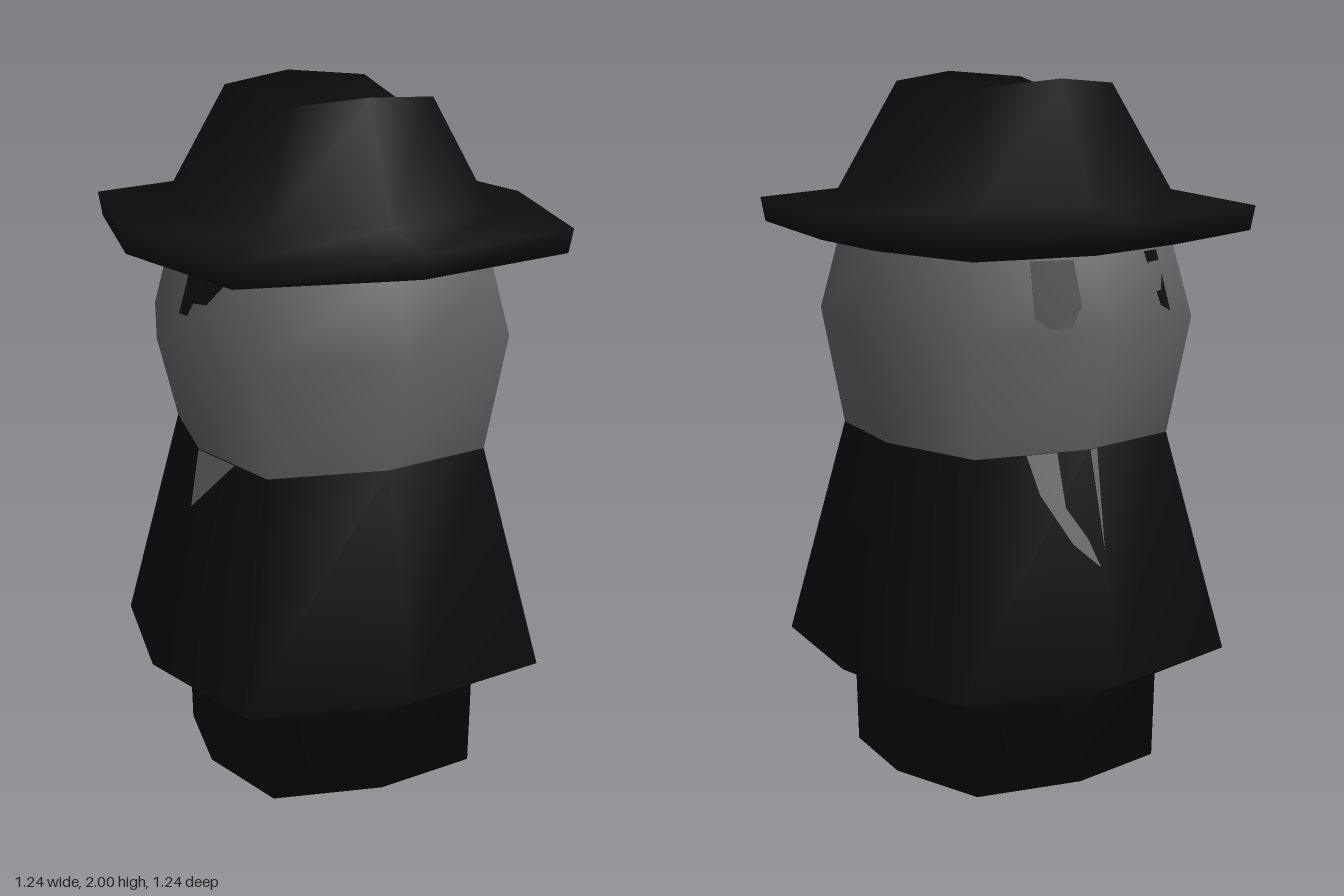
import * as THREE from 'three';

const black = new THREE.MeshStandardMaterial({ color: 0x0d0d0d, side: THREE.DoubleSide });
black.name = 'black cloth';
const grey = new THREE.MeshStandardMaterial({ color: 0x666666, side: THREE.DoubleSide });
grey.name = 'grey skin';

// Eight-sided rings, bottom to top: [y, reach along the axes, reach of the diagonal corners]
const coat = [[0, 0.38, 0.315], [0.25, 0.39, 0.32], [0.34, 0.56, 0.46], [0.98, 0.405, 0.337]];
const head = [[0.98, 0.405, 0.337], [1.32, 0.525, 0.385], [1.53, 0.435, 0.345]];
const hat = [[1.525, 0.43, 0.35], [1.57, 0.61, 0.5], [1.64, 0.62, 0.51], [1.67, 0.425, 0.345]];

// Corner k of a ring, counted from the front (+z) towards +x
function corner([y, axis, diag], k) {
  const a = (k * Math.PI) / 4;
  const r = k % 2 ? diag * Math.SQRT2 : axis;
  return [Math.sin(a) * r, y, Math.cos(a) * r];
}

// Joins rings of eight points, closing the ends with a centre point where given
function loft(rings, bottom, top) {
  const pos = rings.flat(2);
  const index = [];
  for (let j = 0; j < rings.length - 1; j++) {
    for (let k = 0; k < 8; k++) {
      const a = j * 8 + k, b = j * 8 + ((k + 1) % 8);
      index.push(a, b, b + 8, a, b + 8, a + 8);
    }
  }
  const last = (rings.length - 1) * 8;
  if (bottom) {
    const c = pos.length / 3;
    pos.push(...bottom);
    for (let k = 0; k < 8; k++) index.push(c, (k + 1) % 8, k);
  }
  if (top) {
    const c = pos.length / 3;
    pos.push(...top);
    for (let k = 0; k < 8; k++) index.push(c, last + k, last + ((k + 1) % 8));
  }
  const geo = new THREE.BufferGeometry();
  geo.setAttribute('position', new THREE.Float32BufferAttribute(pos, 3));
  geo.setIndex(index);
  geo.computeVertexNormals();
  return geo;
}

const ringsOf = (profile) => profile.map((r) => [0, 1, 2, 3, 4, 5, 6, 7].map((k) => corner(r, k)));

// Thin painted patch lying on one side panel; points are [corner position, height]
function patch(profile, level, points) {
  const geo = new THREE.ShapeGeometry(new THREE.Shape(points.map((p) => new THREE.Vector2(...p))));
  const pos = geo.attributes.position;
  const panel = Math.floor(Math.min(...points.map((p) => p[0])));
  const [lo, hi] = [profile[level], profile[level + 1]];
  for (let i = 0; i < pos.count; i++) {
    const y = pos.getY(i), t = (y - lo[0]) / (hi[0] - lo[0]);
    const ring = lo.map((v, n) => v + (hi[n] - v) * t);
    const p = new THREE.Vector3(...corner(ring, panel));
    p.lerp(new THREE.Vector3(...corner(ring, panel + 1)), pos.getX(i) - panel);
    pos.setXYZ(i, p.x * 1.012, y, p.z * 1.012);
  }
  geo.computeVertexNormals();
  return geo;
}

export function createModel() {
  const model = new THREE.Group();
  const add = (name, geo, mat) => {
    const mesh = new THREE.Mesh(geo, mat);
    mesh.name = name;
    model.add(mesh);
  };

  add('coat', loft(ringsOf(coat), [0, 0, 0]), black);
  add('head', loft(ringsOf(head)), grey);

  // Hat: brim and crown, with a pinched top creased from side to side
  const crownTop = [
    [0, 2, 0.275], [0.22, 1.98, 0.22], [0.25, 1.92, 0], [0.22, 1.98, -0.22],
    [0, 2, -0.275], [-0.22, 1.98, -0.22], [-0.25, 1.92, 0], [-0.22, 1.98, 0.22],
  ];
  add('hat', loft([...ringsOf(hat), crownTop], [0, 1.525, 0], [0, 1.92, 0]), black);

  // Dark streaks below the brim
  const streaks = [
    [[3.45, 1.52], [3.45, 1.37], [3.55, 1.34], [3.7, 1.34], [3.8, 1.4], [3.8, 1.52]],
    [[4.58, 1.52], [4.62, 1.37], [4.72, 1.35], [4.74, 1.52]],
    [[6.1, 1.52], [6.15, 1.4], [6.32, 1.4], [6.6, 1.52]],
  ];
  streaks.forEach((s) => add('hatStreak', patch(head, 1, s), black));

  // Pale streaks running down from the collar
  const drips = [
    [[3.45, 0.98], [3.55, 0.87], [3.78, 0.73], [3.97, 0.66], [3.9, 0.74], [3.75, 0.83], [3.72, 0.98]],
    [[4.02, 0.98], [4.02, 0.7], [4.1, 0.98]],
    [[6.02, 0.98], [6.08, 0.82], [6.55, 0.98]],
  ];
  drips.forEach((d) => add('collarStreak', patch(coat, 2, d), grey));

  return model;
}
